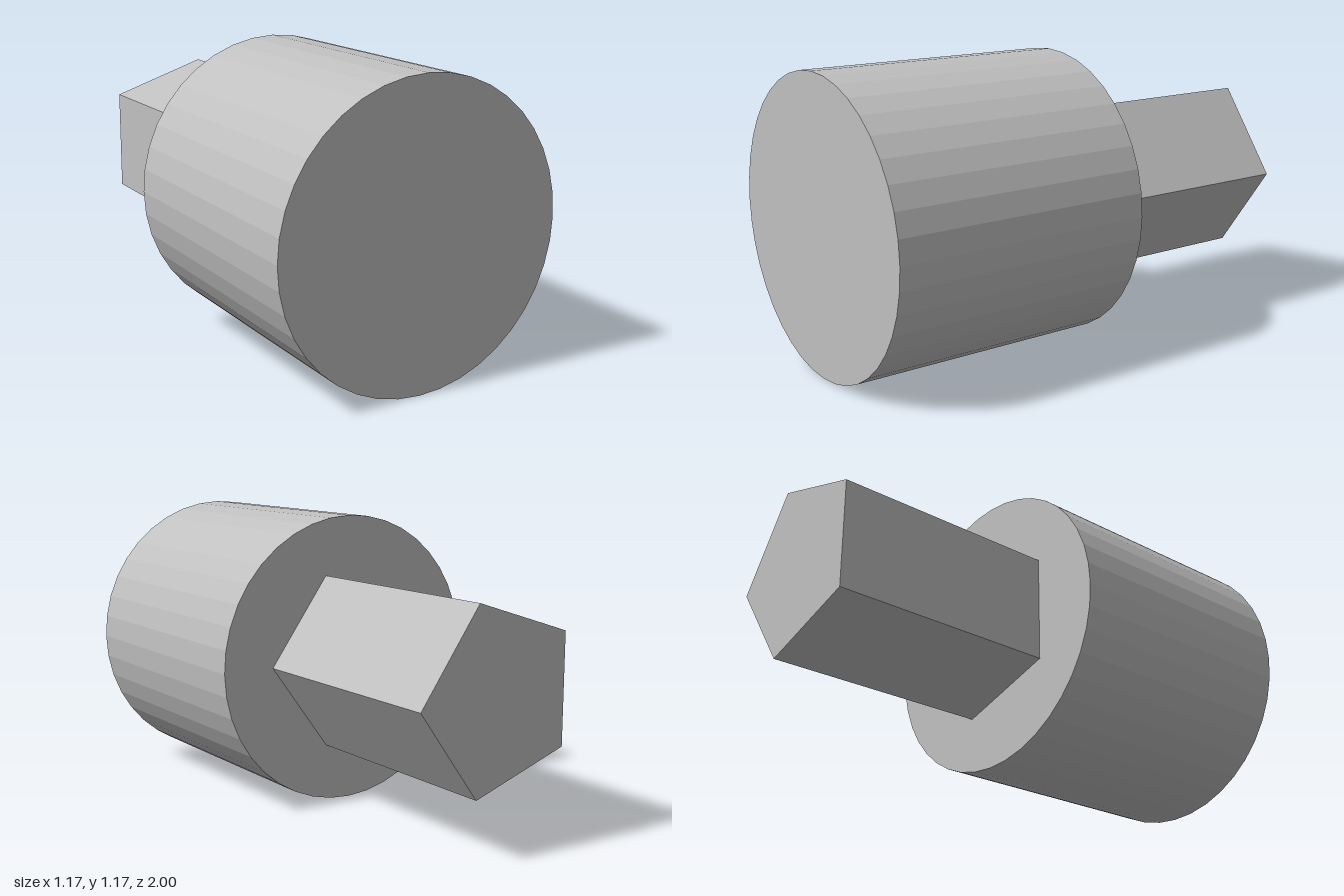
import * as THREE from 'three';

export function createModel() {
  const model = new THREE.Group();
  const grey = new THREE.MeshStandardMaterial({ color: 0xc0c0c0, flatShading: true });
  grey.name = 'light grey';
  const axisY = 0.586;
  const joinZ = -0.073;

  // Prism lying along z, with its first corner towards +x
  function prism(name, radius, sides, zBack, zFront) {
    const geometry = new THREE.CylinderGeometry(radius, radius, zFront - zBack, sides, 1, false, Math.PI / 2);
    geometry.rotateX(Math.PI / 2);
    const mesh = new THREE.Mesh(geometry, grey);
    mesh.name = name;
    mesh.position.set(0, axisY, (zFront + zBack) / 2);
    model.add(mesh);
  }

  // Round head at the front, five-sided shank behind it
  prism('head', 0.585, 40, joinZ, 1);
  prism('shank', 0.367, 5, -1, joinZ);

  return model;
}
